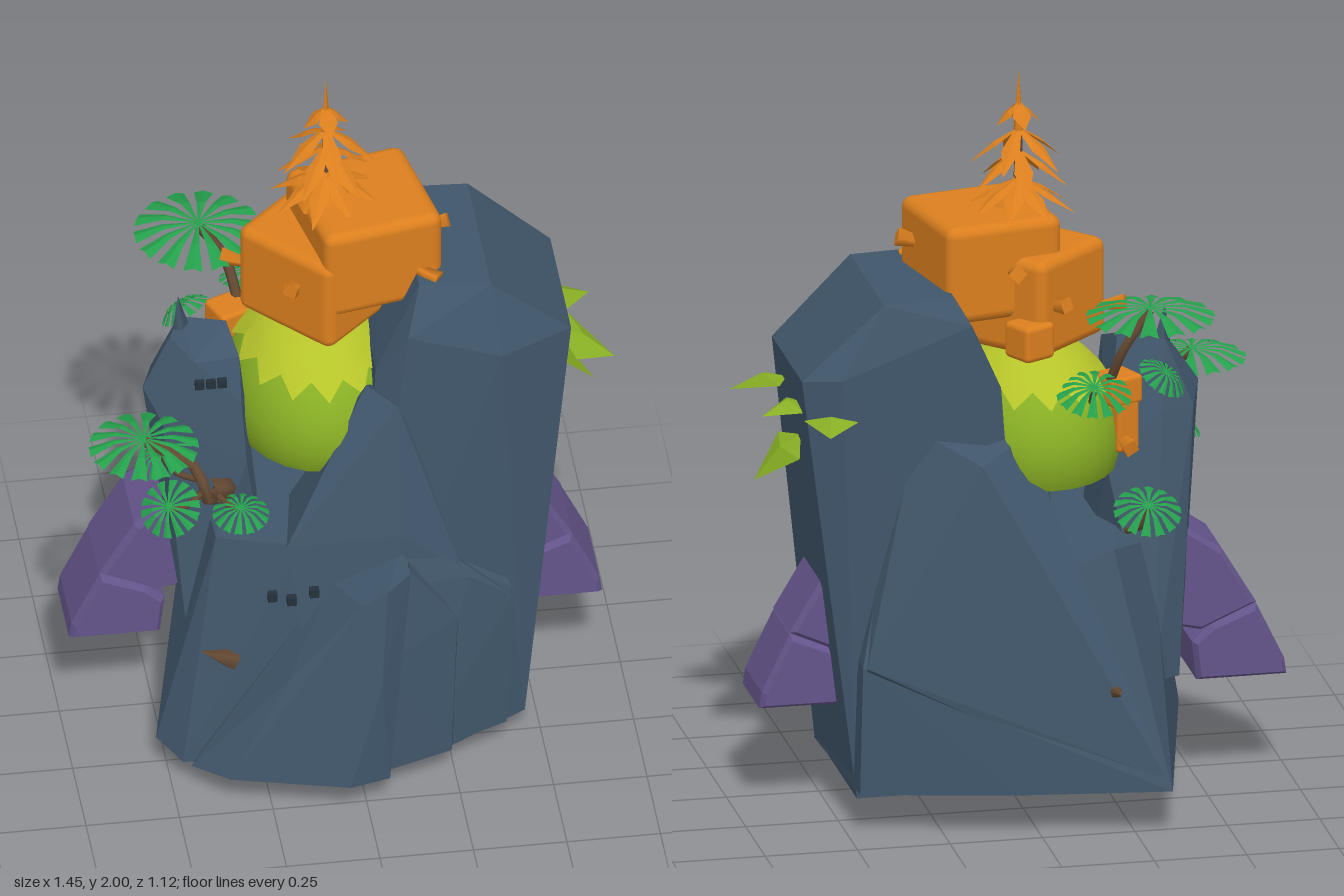
import * as THREE from 'three';
import { mergeGeometries } from 'three/addons/utils/BufferGeometryUtils.js';
import { ConvexGeometry } from 'three/addons/geometries/ConvexGeometry.js';
import { RoundedBoxGeometry } from 'three/addons/geometries/RoundedBoxGeometry.js';

const mat = (name, color, extra = {}) => {
  const m = new THREE.MeshStandardMaterial({ color, ...extra });
  m.name = name;
  return m;
};
const V = (p) => new THREE.Vector3(...p);

export function createModel() {
  const root = new THREE.Group();
  root.name = 'rockIsland';
  const two = { side: THREE.DoubleSide };
  const rock = mat('slateRock', 0x40566a);
  const purple = mat('purpleStone', 0x64548a);
  const orange = mat('orange', 0xdb7f1e, two);
  const lime = mat('limeLeaf', 0x88ae24, two);
  const moss = mat('yellowMoss', 0xb6c42a, two);
  const green = mat('needleGreen', 0x25a04c, two);
  const wood = mat('bark', 0x654a34);
  const dark = mat('darkPit', 0x25313c);

  const add = (name, geo, material, pos = [0, 0, 0], rot = [0, 0, 0]) => {
    const m = new THREE.Mesh(geo, material);
    m.name = name;
    m.position.set(...pos);
    m.rotation.set(...rot);
    root.add(m);
    return m;
  };
  const hull = (name, pts) => add(name, new ConvexGeometry(pts.map(V)), rock);

  // Ring of folded blades; profile rows are [distance, height, half width]
  const blades = (n, profile, start = 0) => {
    const out = [];
    for (let i = 0; i < n; i++) {
      const a = start + (i / n) * Math.PI * 2, c = Math.cos(a), s = Math.sin(a);
      const at = ([d, y, w], side) => [c * d - s * w * side, y - Math.abs(side) * w * 0.35, s * d + c * w * side];
      for (let k = 0; k < profile.length - 1; k++) for (const sd of [-1, 1]) {
        const p = profile[k], q = profile[k + 1];
        out.push(...at(p, 0), ...at(q, 0), ...at(q, sd), ...at(p, 0), ...at(q, sd), ...at(p, sd));
      }
    }
    const g = new THREE.BufferGeometry();
    g.setAttribute('position', new THREE.Float32BufferAttribute(out, 3));
    g.computeVertexNormals();
    return g;
  };
  const tube = (name, pts, r) =>
    add(name, new THREE.TubeGeometry(new THREE.CatmullRomCurve3(pts.map(V)), 8, r, 6), wood);

  // Rock masses
  hull('tallPillar', [
    [0.19, 1.45, 0.16], [0.19, 1.45, -0.27], [0.38, 1.44, -0.27], [0.38, 1.44, 0.17],
    [0.6, 1.24, 0.13], [0.6, 1.24, -0.26], [0.4, 1.25, 0.24], [0.15, 1.33, 0.23],
    [0.07, 1.2, 0.18], [0.07, 1.2, -0.3], [0.15, 1.38, -0.31], [0.5, 1.25, -0.31],
    [0.46, 0.08, 0.25], [0.46, 0.08, -0.3], [0, 0.1, 0.3], [0, 0.1, -0.35],
  ]);
  hull('baseRock', [
    [-0.53, 0.1, 0.27], [-0.47, 0.08, 0.36], [-0.34, 0.13, -0.56], [0.06, 0.12, -0.48], [0.47, 0.12, -0.39],
    [0.46, 0.07, 0.25], [0.2, 0.05, 0.38], [-0.12, 0.005, 0.08], [-0.1, 0.01, 0.3], [0.1, 0.02, -0.1],
    [-0.37, 0.75, 0.27], [-0.15, 0.74, 0.32], [0.1, 0.72, 0.3], [-0.37, 0.7, -0.15], [-0.22, 0.75, -0.37],
    [0.46, 0.47, -0.38], [0.4, 0.7, -0.3], [0.42, 0.5, 0.27],
  ]);
  hull('backSlab', [
    [0.13, 1.0, -0.36], [0.01, 1.06, -0.3], [0.3, 1.1, -0.3], [0.02, 1.0, -0.2], [0.35, 1.0, -0.15],
    [-0.33, 0.16, -0.55], [0.1, 0.3, -0.46], [0.45, 0.47, -0.39], [0.4, 0.2, -0.2], [-0.2, 0.2, -0.2],
  ]);
  hull('leftPillar', [
    [-0.45, 1.2, -0.03], [-0.42, 1.23, -0.08], [-0.3, 1.24, -0.03], [-0.28, 1.2, 0.08], [-0.4, 1.2, 0.09],
    [-0.53, 1.08, 0.02], [-0.49, 1.05, -0.11], [-0.28, 1.08, 0.12], [-0.49, 1.03, 0.12], [-0.4, 1.05, -0.14],
    [-0.45, 0.9, 0.13], [-0.27, 0.9, 0.15], [-0.25, 0.9, -0.15], [-0.44, 0.4, 0.22], [-0.42, 0.35, -0.26],
    [-0.34, 0.36, -0.32], [-0.2, 0.4, 0.1],
  ]);
  hull('middleRidge', [
    [0.04, 1.17, 0.21], [0.12, 1.12, 0.25], [0.15, 1.05, 0.24], [0.12, 0.75, 0.33], [0.28, 0.62, 0.33],
    [-0.05, 0.95, 0.27], [-0.19, 0.74, 0.33], [-0.1, 0.1, 0.42], [0.2, 0.08, 0.4], [0.1, 1.05, 0.05], [-0.15, 0.74, 0.1],
  ]);
  hull('rightButtress', [
    [0.12, 0.78, 0.31], [0.42, 0.5, 0.31], [0.3, 0.6, 0.34], [0.4, 0.09, 0.32], [0.15, 0.08, 0.42],
    [0.12, 0.6, 0.36], [0.2, 0.6, 0.1], [0.44, 0.1, 0.1],
  ]);
  hull('frontSlab', [
    [-0.01, 0.64, 0.48], [0.06, 0.68, 0.48], [0.13, 0.69, 0.42], [0.12, 0.69, 0.3], [-0.07, 0.62, 0.33],
    [-0.05, 0.1, 0.56], [0.06, 0.09, 0.52], [-0.36, 0.1, 0.48], [-0.45, 0.08, 0.38], [-0.2, 0.4, 0.46],
    [-0.02, 0.07, 0.45], [0.07, 0.1, 0.3], [0.04, 0.4, 0.52], [-0.35, 0.2, 0.3],
  ]);
  hull('frontStep', [
    [0.13, 0.68, 0.4], [0.14, 0.66, 0.3], [0.26, 0.5, 0.38], [0.24, 0.08, 0.41], [0.04, 0.08, 0.48],
    [0.04, 0.42, 0.47], [0.28, 0.1, 0.25], [0.05, 0.1, 0.25],
  ]);
  add('pillarSpike', new THREE.ConeGeometry(0.03, 0.14, 4), rock, [-0.42, 1.25, -0.05], [0, 0, 0.08]);
  for (const [x, y, z] of [[-0.39, 1.14, 0.105], [-0.36, 1.14, 0.105], [-0.33, 1.14, 0.105],
    [-0.23, 0.6, 0.35], [-0.18, 0.59, 0.36], [-0.12, 0.61, 0.36]])
    add('rockPit', new THREE.BoxGeometry(0.025, 0.025, 0.02), dark, [x, y, z]);

  // Purple stones on both sides, mirrored
  const stones = {
    lowerStone: [[-0.72, 0.31], [-0.5, 0.31], [-0.49, 0.4], [-0.535, 0.44], [-0.645, 0.485], [-0.715, 0.34]],
    upperStone: [[-0.635, 0.51], [-0.5, 0.45], [-0.41, 0.47], [-0.38, 0.6], [-0.42, 0.74], [-0.55, 0.65]],
  };
  for (const side of [1, -1]) for (const [name, pts] of Object.entries(stones)) {
    const mapped = pts.map(([x, y]) => new THREE.Vector2(side > 0 ? x : -x - 0.04, y));
    const g = new THREE.ExtrudeGeometry(new THREE.Shape(mapped), {
      depth: 0.21, bevelSize: 0.012, bevelThickness: 0.02, bevelSegments: 1,
    });
    add(name, g, purple, [0, 0, -0.15]);
  }

  // Mossy mound with a ragged cap
  const mound = add('mound', new THREE.SphereGeometry(1, 24, 14, 0, Math.PI * 2, 0, Math.PI * 0.61), lime, [-0.06, 1.0, -0.05]);
  mound.scale.set(0.24, 0.25, 0.31);
  const floor = add('moundFloor', new THREE.CircleGeometry(1, 24), lime, [-0.06, 0.916, -0.05], [Math.PI / 2, 0, 0]);
  floor.scale.set(0.226, 0.29, 1);
  const capGeo = new THREE.SphereGeometry(1, 28, 6, 0, Math.PI * 2, 0, 0.85);
  const cp = capGeo.attributes.position;
  for (let i = 0; i < cp.count; i++) {
    // Every other rim point hangs lower
    if (Math.floor(i / 29) === 6 && i % 2) cp.setXYZ(i, cp.getX(i) * 1.17, cp.getY(i) - 0.15, cp.getZ(i) * 1.17);
  }
  capGeo.computeVertexNormals();
  add('mossCap', capGeo, moss, [-0.06, 1.0, -0.05]).scale.set(0.25, 0.265, 0.32);

  // Orange blocks with flared knobs
  const block = (name, size, r, pos, turn) => add(name, new RoundedBoxGeometry(...size, 2, r), orange, pos, [0, turn, 0]);
  block('upperBlock', [0.33, 0.27, 0.34], 0.03, [0.07, 1.49, -0.04], 0.2);
  block('lowerBlock', [0.32, 0.27, 0.3], 0.03, [-0.05, 1.39, -0.05], -0.82);
  block('smallBlock', [0.1, 0.1, 0.1], 0.015, [-0.02, 1.31, -0.24], 0.5);
  block('hangingBlock', [0.07, 0.16, 0.07], 0.012, [-0.28, 1.05, -0.19], 0.4);
  block('hangingBlockTop', [0.1, 0.08, 0.1], 0.012, [-0.27, 1.14, -0.18], 0.4);
  const knob = (pos, dir) => {
    const m = add('knob', new THREE.CylinderGeometry(0.026, 0.015, 0.06, 4), orange, pos);
    m.quaternion.setFromUnitVectors(new THREE.Vector3(0, 1, 0), V(dir).normalize());
  };
  knob([0.26, 1.53, 0], [1, 0.3, 0.1]);
  knob([0.22, 1.45, 0.12], [0.7, -0.2, 0.5]);
  knob([-0.13, 1.42, 0.08], [-0.6, 0.1, 0.8]);
  knob([-0.1, 1.4, -0.24], [-0.5, 0.2, -0.8]);
  knob([0.02, 1.5, -0.25], [0, 0.2, -1]);
  knob([-0.27, 1.36, -0.14], [-1, 0.2, -0.3]);
  knob([-0.28, 1.0, -0.24], [-0.3, -0.2, -1]);
  for (const y of [1.375, 1.405])
    add('blockPit', new THREE.BoxGeometry(0.025, 0.02, 0.01), dark, [-0.125, y, 0.066], [0, -0.82, 0]);

  // Conifer on top
  add('coniferTrunk', new THREE.CylinderGeometry(0.008, 0.018, 0.26, 6), wood, [-0.03, 1.73, -0.05]);
  add('coniferTip', new THREE.ConeGeometry(0.015, 0.18, 5), orange, [-0.03, 1.91, -0.05]);
  add('coniferSkirt', new THREE.ConeGeometry(0.085, 0.12, 7), orange, [-0.03, 1.66, -0.05]);
  for (const [y, r, drop, n] of [[1.91, 0.06, 0.06, 4], [1.84, 0.13, 0.1, 5], [1.78, 0.13, 0.1, 5], [1.7, 0.15, 0.09, 8]])
    add('coniferTier', blades(n, [[0, 0, 0.008], [r * 0.5, -drop * 0.4, 0.026], [r, -drop, 0.001]], y * 9),
      orange, [-0.03, y, -0.05]);

  // Needle fans: position, radius, tilt
  const fans = [
    [[-0.34, 1.39, -0.27], 0.17, [0, 0, 0]], [[-0.18, 1.19, -0.31], 0.1, [-0.35, 0, 0]],
    [[-0.56, 1.09, 0.25], 0.145, [0, 0, 0]], [[-0.5, 0.95, 0.13], 0.08, [0, 0, 0.5]],
    [[-0.51, 0.94, 0.36], 0.08, [0.6, 0, 0.3]], [[-0.32, 0.94, 0.39], 0.075, [0.15, 0, 0]],
    [[-0.32, 0.86, -0.34], 0.09, [-0.5, 0, 0]], [[-0.4, 1.18, -0.2], 0.07, [-0.4, 0, 0.5]],
  ];
  for (const [pos, r, tilt] of fans)
    add('needleFan', blades(14, [[0, 0, 0.001], [r * 0.55, -0.002, r * 0.07], [r, -0.025, r * 0.15]]), green, pos, tilt);

  // Branches
  tube('frontBranch', [[-0.33, 0.86, 0.2], [-0.4, 0.92, 0.32], [-0.42, 0.99, 0.28], [-0.56, 1.08, 0.25]], 0.016);
  tube('frontBranchRoot', [[-0.34, 0.86, 0.2], [-0.35, 0.92, 0.28], [-0.4, 0.95, 0.31]], 0.03);
  tube('lowTwig', [[-0.4, 0.94, 0.3], [-0.46, 0.92, 0.34], [-0.51, 0.93, 0.36]], 0.009);
  tube('sideTwig', [[-0.38, 0.93, 0.3], [-0.35, 0.93, 0.36], [-0.32, 0.93, 0.39]], 0.009);
  tube('innerTwig', [[-0.4, 0.95, 0.28], [-0.47, 0.93, 0.2], [-0.5, 0.95, 0.13]], 0.009);
  tube('backBranch', [[-0.24, 1.15, -0.2], [-0.27, 1.27, -0.26], [-0.34, 1.38, -0.27]], 0.014);
  tube('backTwig', [[-0.2, 1.1, -0.22], [-0.18, 1.14, -0.28], [-0.18, 1.18, -0.31]], 0.009);
  tube('lowBackTwig', [[-0.28, 0.76, -0.25], [-0.31, 0.8, -0.32], [-0.32, 0.85, -0.34]], 0.009);
  add('frontRoot', new THREE.ConeGeometry(0.03, 0.12, 5), wood, [-0.38, 0.42, 0.35], [0.5, 0, 0.9]);
  add('backRoot', new THREE.ConeGeometry(0.022, 0.09, 5), wood, [-0.2, 0.4, -0.52], [-1.4, 0, 0]);

  // Broad leaves on the tall pillar: base, half-width vector, tip
  const leaves = [
    [[0.58, 1.16, 0.03], [0, -0.01, 0.09], [0.72, 1.11, 0.1]],
    [[0.57, 1.04, -0.1], [0.01, 0.01, 0.09], [0.69, 0.91, -0.07]],
    [[0.56, 1.14, -0.13], [0.01, 0, 0.07], [0.69, 1.12, -0.17]],
    [[0.52, 1.14, -0.26], [0.07, 0, 0.02], [0.55, 1.12, -0.39]],
  ];
  add('pillarLeaves', mergeGeometries(leaves.map(([b, w, t]) => {
    const B = V(b), W = V(w), T = V(t);
    const mid = B.clone().lerp(T, 0.45).add(V([0, 0.025, 0]));
    const L = B.clone().lerp(T, 0.25).add(W), R = B.clone().lerp(T, 0.25).sub(W);
    const g = new THREE.BufferGeometry().setFromPoints([B, L, mid, L, T, mid, T, R, mid, R, B, mid]);
    g.computeVertexNormals();
    return g;
  })), lime);

  return root;
}
